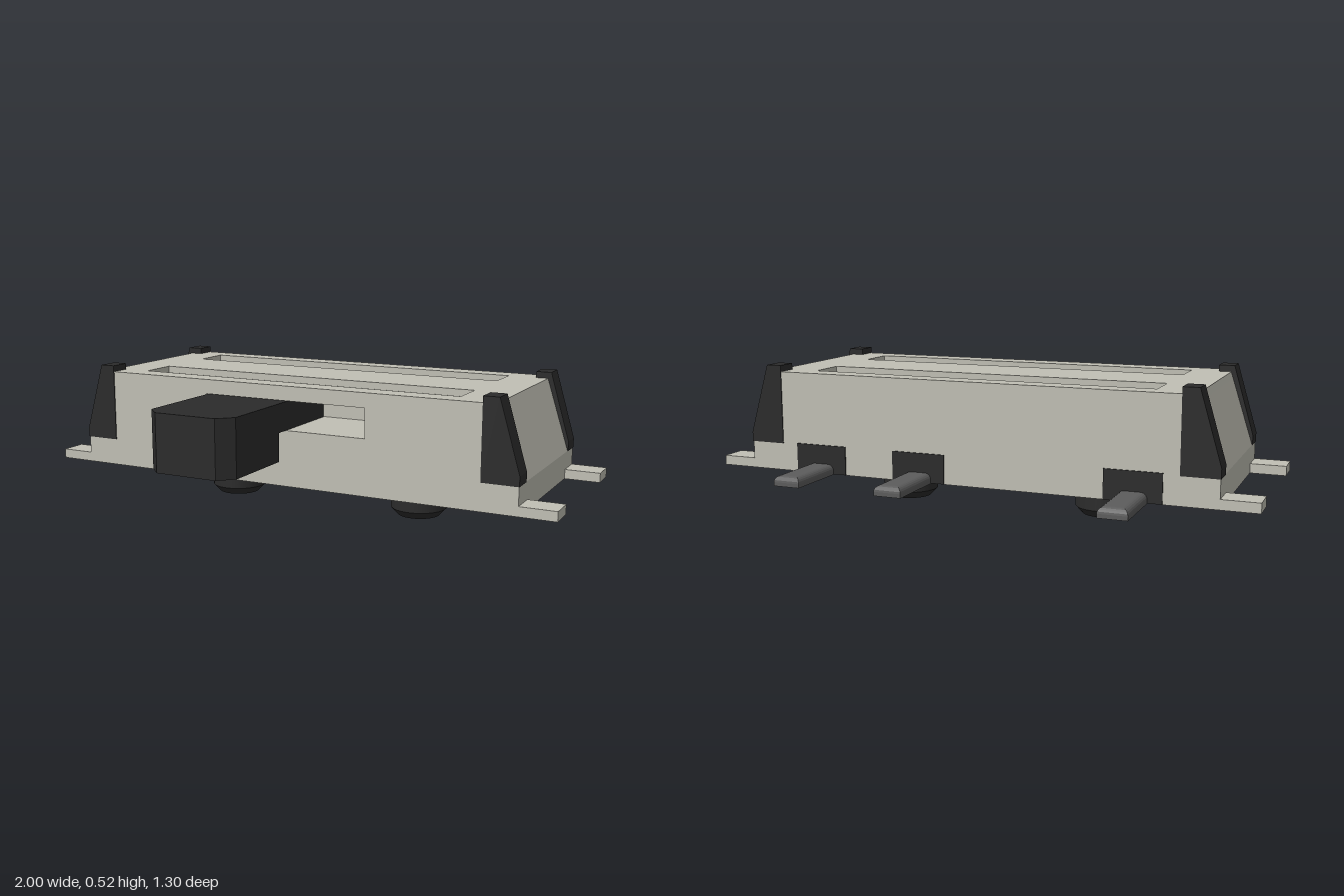
import * as THREE from 'three';
import { ConvexGeometry } from 'three/addons/geometries/ConvexGeometry.js';

const mat = (color) => new THREE.MeshStandardMaterial({ color, flatShading: true });

function poly(points) {
  return new THREE.Shape(points.map(([x, y]) => new THREE.Vector2(x, y)));
}

function rect(x0, x1, y0, y1) {
  return poly([[x0, y0], [x1, y0], [x1, y1], [x0, y1]]);
}

const extrude = (shape, depth) => new THREE.ExtrudeGeometry(shape, { depth, bevelEnabled: false });

// Front outline (x, y) extruded from z0 to z1
const alongZ = (shape, z0, z1) => extrude(shape, z1 - z0).translate(0, 0, z0);

// Plan outline (x, -z) extruded from y0 to y1
const alongY = (shape, y0, y1) => extrude(shape, y1 - y0).rotateX(-Math.PI / 2).translate(0, y0, 0);

function block(x0, x1, y0, y1, z0, z1) {
  return new THREE.BoxGeometry(x1 - x0, y1 - y0, z1 - z0)
    .translate((x0 + x1) / 2, (y0 + y1) / 2, (z0 + z1) / 2);
}

// Solder pin with its upper edges and outer end rounded over
function pinGeometry(w, h, z0, z1, r) {
  const pts = [];
  const ring = (inset, y) => {
    for (const s of [-1, 1]) {
      pts.push(new THREE.Vector3(s * (w / 2 - inset), y, z0));
      pts.push(new THREE.Vector3(s * (w / 2 - inset), y, z1 + inset));
    }
  };
  ring(0, 0);
  for (let i = 0; i <= 5; i++) {
    const t = (i / 5) * Math.PI / 2;
    ring(r * (1 - Math.cos(t)), h - r + r * Math.sin(t));
  }
  return new ConvexGeometry(pts);
}

export function createModel() {
  const group = new THREE.Group();
  const shell = mat(0xc0bfb4), black = mat(0x2b2b2b), metal = mat(0x5c5c5c);
  const add = (name, geometry, material) => {
    const mesh = new THREE.Mesh(geometry, material);
    mesh.name = name;
    group.add(mesh);
    return mesh;
  };

  const base = 0.135, back = -0.415, front = 0.26, grooveY = 0.475;

  // Housing: straight foot, sloped ends, deep slider slot in the front
  const outline = () => poly([[-0.87, base], [0.87, base], [0.87, 0.235],
    [0.793, grooveY], [-0.793, grooveY], [-0.87, 0.235]]);
  const slotted = outline();
  slotted.holes.push(rect(-0.32, 0.32, 0.34, 0.447));
  add('housingFront', alongZ(slotted, -0.04, front), shell);
  add('housingBack', alongZ(outline(), back, -0.04), shell);

  // Cover with two long grooves, ends following the slope
  const cover = rect(-0.785, 0.785, -front, -back);
  for (const [z0, z1] of [[0.04, 0.18], [-0.34, -0.2]]) {
    cover.holes.push(rect(-0.64, 0.635, -z1, -z0));
  }
  const coverGeometry = alongY(cover, grooveY, 0.5);
  const p = coverGeometry.attributes.position;
  for (let i = 0; i < p.count; i++) {
    if (Math.abs(p.getX(i)) > 0.7 && p.getY(i) < 0.49) p.setX(i, Math.sign(p.getX(i)) * 0.793);
  }
  coverGeometry.computeVertexNormals();
  add('cover', coverGeometry, shell);

  // Mounting tabs and black corner posts
  for (const s of [-1, 1]) {
    for (const [z0, z1] of [[0.16, front], [back, -0.315]]) {
      add('mountingTab', block(Math.min(s * 0.86, s), Math.max(s * 0.86, s), base, 0.17, z0, z1), shell);
    }
    const post = poly([[0.74, 0.235], [0.872, 0.235], [0.872, 0.27], [0.797, 0.523], [0.74, 0.523]]
      .map(([x, y]) => [s * x, y]));
    add('cornerPost', alongZ(post, 0.185, 0.263), black);
    add('cornerPost', alongZ(post, -0.418, -0.34), black);
  }

  // Slider: stem in the slot and chamfered knob
  add('sliderStem', block(-0.319, 0.015, 0.341, 0.445, -0.03, 0.315), black);
  const knob = poly([[-0.32, -0.315], [-0.32, -0.6], [-0.27, -0.65],
    [-0.035, -0.65], [0.015, -0.6], [0.015, -0.315]]);
  add('sliderKnob', alongY(knob, 0.237, 0.445), black);

  // Locating pegs under the housing
  const pegMaterial = new THREE.MeshStandardMaterial({ color: 0x2b2b2b });
  for (const x of [-0.39, 0.39]) {
    const bottom = add('pegTip', new THREE.CylinderGeometry(0.104, 0.078, 0.028, 40), pegMaterial);
    bottom.position.set(x, 0.014, -0.077);
    const peg = add('peg', new THREE.CylinderGeometry(0.104, 0.104, 0.112, 40), pegMaterial);
    peg.position.set(x, 0.084, -0.077);
  }

  // Solder pins with black insulators on the back
  for (const x of [-0.585, 0.19, 0.58]) {
    add('insulator', block(x - 0.1, x + 0.1, base + 0.001, 0.24, -0.419, -0.39), black);
    const pin = add('solderPin', pinGeometry(0.1, 0.036, -0.41, -0.65, 0.022), metal);
    pin.position.set(x, base, 0);
  }
  return group;
}
